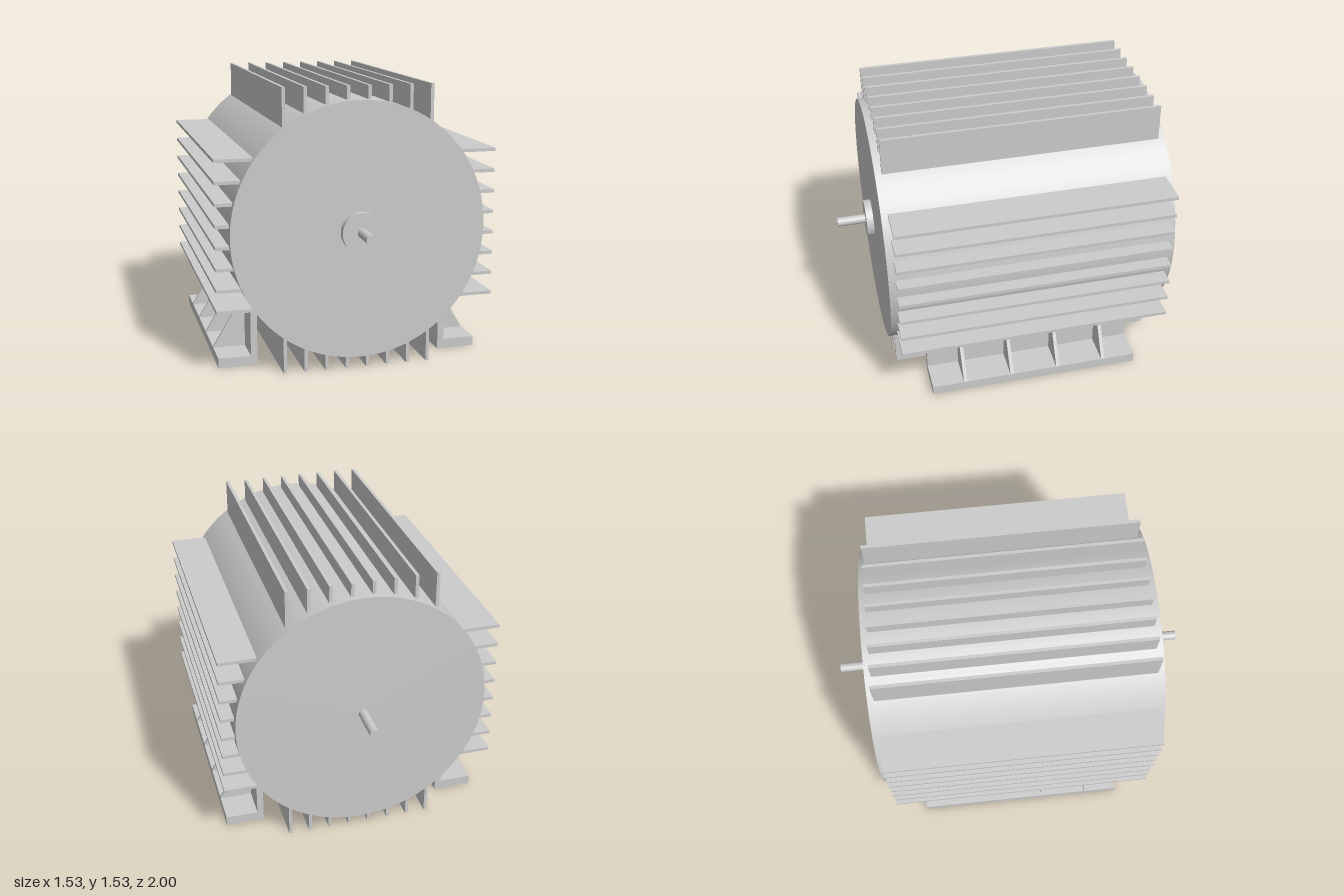
import * as THREE from 'three';

const R = 0.693;       // housing radius
const CY = 0.764;      // shaft height
const REACH = 0.764;   // fin tips, measured from the shaft axis

export function createModel() {
  const model = new THREE.Group();
  model.name = 'electricMotor';
  const mat = new THREE.MeshStandardMaterial({ color: 0xcccccc });

  const add = (parent, name, geometry, x = 0, y = 0, z = 0) => {
    const mesh = new THREE.Mesh(geometry, mat);
    mesh.name = name;
    mesh.position.set(x, y, z);
    parent.add(mesh);
    return mesh;
  };
  const group = (name, parent = model) => {
    const g = new THREE.Group();
    g.name = name;
    parent.add(g);
    return g;
  };
  // cylinder lying along z between z0 and z1
  const rod = (name, r, z0, z1, seg) =>
    add(model, name, new THREE.CylinderGeometry(r, r, z1 - z0, seg).rotateX(Math.PI / 2),
      0, CY, (z0 + z1) / 2);

  // Housing, front bearing boss and shaft ends
  rod('housing', R, -0.8, 0.8, 128);
  rod('bearingBoss', 0.107, 0.79, 0.84, 64);
  rod('frontShaft', 0.026, 0.79, 1, 32);
  rod('rearShaft', 0.026, -1, -0.79, 32);

  // Cooling fins: one bank of eight, turned to each of the four sides
  ['topFins', 'leftFins', 'bottomFins', 'rightFins'].forEach((name, side) => {
    const bank = group(name);
    bank.position.y = CY;
    bank.rotation.z = -side * Math.PI / 2;
    for (let i = 0; i < 8; i++) {
      const x = -0.4 + i * 0.8 / 7;
      const root = Math.sqrt(R * R - x * x) - 0.02;
      add(bank, 'fin', new THREE.BoxGeometry(0.018, REACH - root, 1.526), x, (REACH + root) / 2, 0);
    }
  });

  // Mounting feet: base plate, upright web and four triangular gussets
  const gusset = new THREE.Shape([
    new THREE.Vector2(0.55, 0.05), new THREE.Vector2(0.735, 0.055), new THREE.Vector2(0.555, 0.355),
    new THREE.Vector2(0.55, 0.355),
  ]);
  for (const s of [1, -1]) {
    const foot = group(s > 0 ? 'leftFoot' : 'rightFoot');
    foot.rotation.y = s > 0 ? 0 : Math.PI;
    add(foot, 'footBase', new THREE.BoxGeometry(0.215, 0.055, 1.2), 0.6275, 0.0275, 0);
    add(foot, 'footWeb', new THREE.BoxGeometry(0.036, 0.31, 1.2), 0.538, 0.2, 0);
    for (let i = 0; i < 4; i++) {
      const z = -0.41 + i * 0.82 / 3;
      add(foot, 'gusset', new THREE.ExtrudeGeometry(gusset, { depth: 0.02, bevelEnabled: false }),
        0, 0, z - 0.01);
    }
  }
  return model;
}
